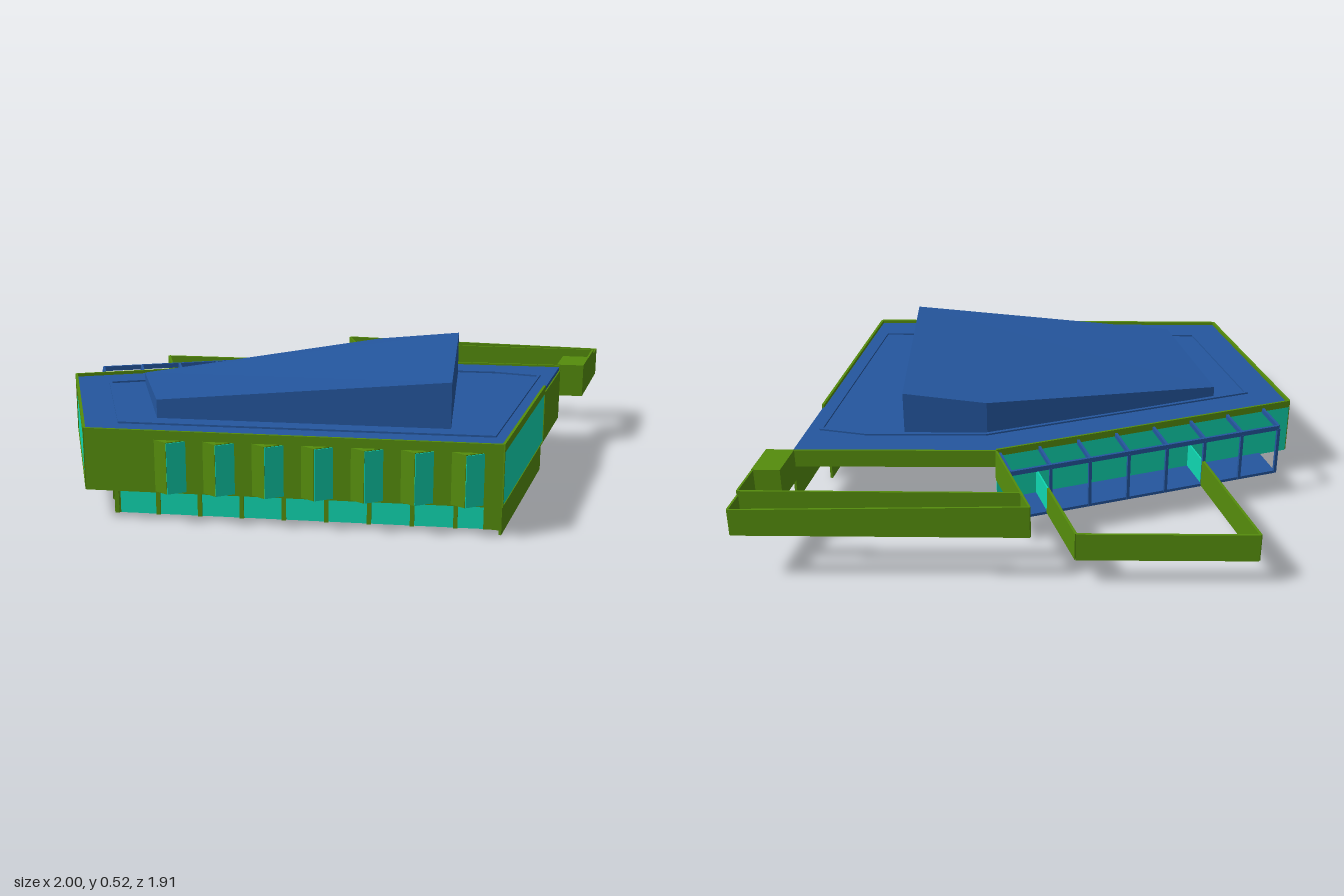
import * as THREE from 'three';

const mat = (color) => new THREE.MeshStandardMaterial({ color, flatShading: true, side: THREE.DoubleSide });

export function createModel() {
  const model = new THREE.Group();
  const green = mat(0x558c0c), glass = mat(0x0fd6b0), blue = mat(0x24569e);

  const add = (name, geometry, material) => {
    const mesh = new THREE.Mesh(geometry, material);
    mesh.name = name;
    model.add(mesh);
    return mesh;
  };
  const lerp = (p, q, t) => [p[0] + (q[0] - p[0]) * t, p[1] + (q[1] - p[1]) * t];

  // Upright panel between two plan points [x, z]
  const wall = (name, p, q, y0, y1, material, thick = 0.01) => {
    const dx = q[0] - p[0], dz = q[1] - p[1];
    const mesh = add(name, new THREE.BoxGeometry(Math.hypot(dx, dz), y1 - y0, thick), material);
    mesh.position.set((p[0] + q[0]) / 2, (y0 + y1) / 2, (p[1] + q[1]) / 2);
    mesh.rotation.y = -Math.atan2(dz, dx);
    return mesh;
  };

  // Horizontal slab from a plan outline, with an optional hole
  const slabGeometry = (pts, y0, y1, hole) => {
    const toV = ([x, z]) => new THREE.Vector2(x, -z);
    const shape = new THREE.Shape(pts.map(toV));
    if (hole) shape.holes.push(new THREE.Path(hole.map(toV)));
    return new THREE.ExtrudeGeometry(shape, { depth: y1 - y0, bevelEnabled: false })
      .rotateX(-Math.PI / 2).translate(0, y0, 0);
  };

  // Plan corners
  const A = [-0.995, 0.275], B = [-0.605, 0.945], C = [0.9, 0.645], D = [0.9, -0.53], E = [0.11, -0.365];
  const M = [0.9, -0.17];

  // Roof deck with a thin curb
  add('roofDeck', slabGeometry([A, B, C, D, E], 0.33, 0.347), blue);
  const curb = [[-0.82, 0.32], [-0.53, 0.82], [0.85, 0.54], [0.85, -0.35], [0.66, -0.35], [0.18, -0.25]];
  const curbInner = [[-0.805, 0.322], [-0.523, 0.806], [0.838, 0.53], [0.838, -0.338], [0.662, -0.338], [0.186, -0.238]];
  add('roofCurb', slabGeometry(curb, 0.345, 0.354, curbInner), blue);

  // Sloping raised roof
  const raised = slabGeometry([[-0.68, 0.27], [-0.42, 0.71], [0.67, 0.49], [0.51, -0.29], [0.18, -0.23]], 0.34, 0.5);
  const pos = raised.attributes.position;
  for (let i = 0; i < pos.count; i++) {
    if (pos.getY(i) > 0.4) pos.setY(i, Math.min(0.525, 0.39 + 0.112 * (pos.getX(i) + 0.68)));
  }
  raised.computeVertexNormals();
  add('raisedRoof', raised, blue);

  // Upper storey: left end with one large window
  const framed = (name, p, q, y0, y1, a, b, w0, w1) => {
    const pa = lerp(p, q, a), pb = lerp(p, q, b);
    wall(name + 'Head', p, q, w1, y1, green);
    if (w0 > y0) wall(name + 'Sill', p, q, y0, w0, green);
    wall(name + 'JambA', p, pa, w0, w1, green);
    wall(name + 'JambB', pb, q, w0, w1, green);
    wall(name + 'Glass', pa, pb, w0, w1, glass, 0.004);
  };
  framed('endWall', A, B, 0.12, 0.36, 0.04, 0.95, 0.13, 0.325);
  framed('sideWall', C, M, 0.12, 0.36, 0.01, 0.99, 0.125, 0.328);
  wall('sideWallRear', M, D, 0.12, 0.332, green);
  wall('frontWall', B, C, 0.12, 0.36, green);
  wall('rearEdge', E, D, 0.28, 0.355, green, 0.008);
  wall('galleryGlass', A, E, 0.12, 0.33, glass, 0.006);
  wall('galleryParapet', A, E, 0.33, 0.36, green, 0.008);

  // Wedge-shaped bay windows along the front
  const frontZ = (x) => B[1] + (C[1] - B[1]) * (x - B[0]) / (C[0] - B[0]);
  for (let i = 0; i < 7; i++) {
    const x = -0.29 + i * 0.178;
    const l = [x - 0.065, frontZ(x - 0.065)], r = [x + 0.055, frontZ(x + 0.055)];
    const tip = [x, frontZ(x) + 0.037];
    add('bayBody', slabGeometry([l, tip, r], 0.125, 0.325), green);
    const off = (p) => [p[0] + 0.003, p[1] + 0.003];
    wall('bayGlass', off(tip), off(r), 0.127, 0.323, glass, 0.004);
  }

  // Lower storey: glazed strips with posts, solid side wall
  const a = [-0.885, 0.235], b = [-0.51, 0.885], c = [0.885, 0.605];
  const strip = (p, q, n, y0) => {
    wall('lowerGlass', p, q, y0, 0.125, glass, 0.006);
    const dx = q[0] - p[0], dz = q[1] - p[1];
    for (let i = 0; i <= n; i++) {
      const m = lerp(p, q, i / n);
      const post = add('lowerPost', new THREE.BoxGeometry(0.016, 0.125 - y0, 0.022), green);
      post.position.set(m[0], (0.125 + y0) / 2, m[1]);
      post.rotation.y = -Math.atan2(dz, dx);
    }
  };
  strip(a, b, 5, 0.02);
  strip(b, c, 9, 0.02);
  wall('lowerCorner', lerp(b, c, 0.96), c, 0.02, 0.125, green, 0.014);
  wall('lowerSideWall', [0.89, 0.61], [0.89, -0.17], 0, 0.125, green);

  // Rear gallery: t runs along the rear wall, n points outward
  const G = (t, n) => [A[0] + 0.866 * t - 0.5 * n, A[1] - 0.5 * t - 0.866 * n];
  const t0 = 0.12, t1 = 1.262, width = 0.15;
  add('galleryFloor', slabGeometry([G(t0, 0), G(t1, 0), G(t1, width), G(t0, width)], 0.115, 0.127), blue);
  wall('galleryRail', G(t0, width), G(t1, width), 0.325, 0.345, blue);
  for (let i = 0; i < 8; i++) {
    const t = t0 + (t1 - t0) * i / 7;
    wall('galleryBeam', G(t, 0), G(t, width), 0.325, 0.345, blue);
    const p = G(t, width);
    const post = add('galleryPost', new THREE.BoxGeometry(0.012, 0.21, 0.012), blue);
    post.position.set(p[0], 0.225, p[1]);
    post.rotation.y = Math.PI / 6;
  }
  for (const t of [0.448, 1.11]) wall('galleryScreen', G(t, 0), G(t, width), 0.125, 0.235, glass, 0.006);

  // Lower yard enclosure behind the gallery
  const yard = [G(0.448, width), [-0.955, -0.558], [-0.277, -0.697], G(1.11, width)];
  for (let i = 0; i < 3; i++) wall('yardWall', yard[i], yard[i + 1], 0.12, 0.238, green);

  // Raised terrace enclosure at the rear corner
  const P = [0.996, -0.952], Q = [-0.107, -0.73];
  const outer = wall('terraceOuterWall', Q, P, 0.22, 0.357, green, 0.008);
  const op = outer.geometry.attributes.position;
  for (let i = 0; i < op.count; i++) {
    if (op.getX(i) > 0 && op.getY(i) > 0) op.setY(i, op.getY(i) - 0.022);
  }
  wall('terraceInnerWall', [-0.055, -0.64], [0.996, -0.852], 0.22, 0.355, green, 0.008);
  wall('terraceEndWall', Q, E, 0.22, 0.355, green, 0.008);
  wall('terraceSideWall', [0.996, -0.852], [0.996, -0.55], 0.22, 0.355, green, 0.008);
  wall('terraceSideWallEnd', P, [0.996, -0.852], 0.22, 0.336, green, 0.008);
  add('terraceBlock', slabGeometry([[0.89, -0.685], [1, -0.705], [1, -0.55], [0.89, -0.528]], 0.22, 0.357), green);

  return model;
}
